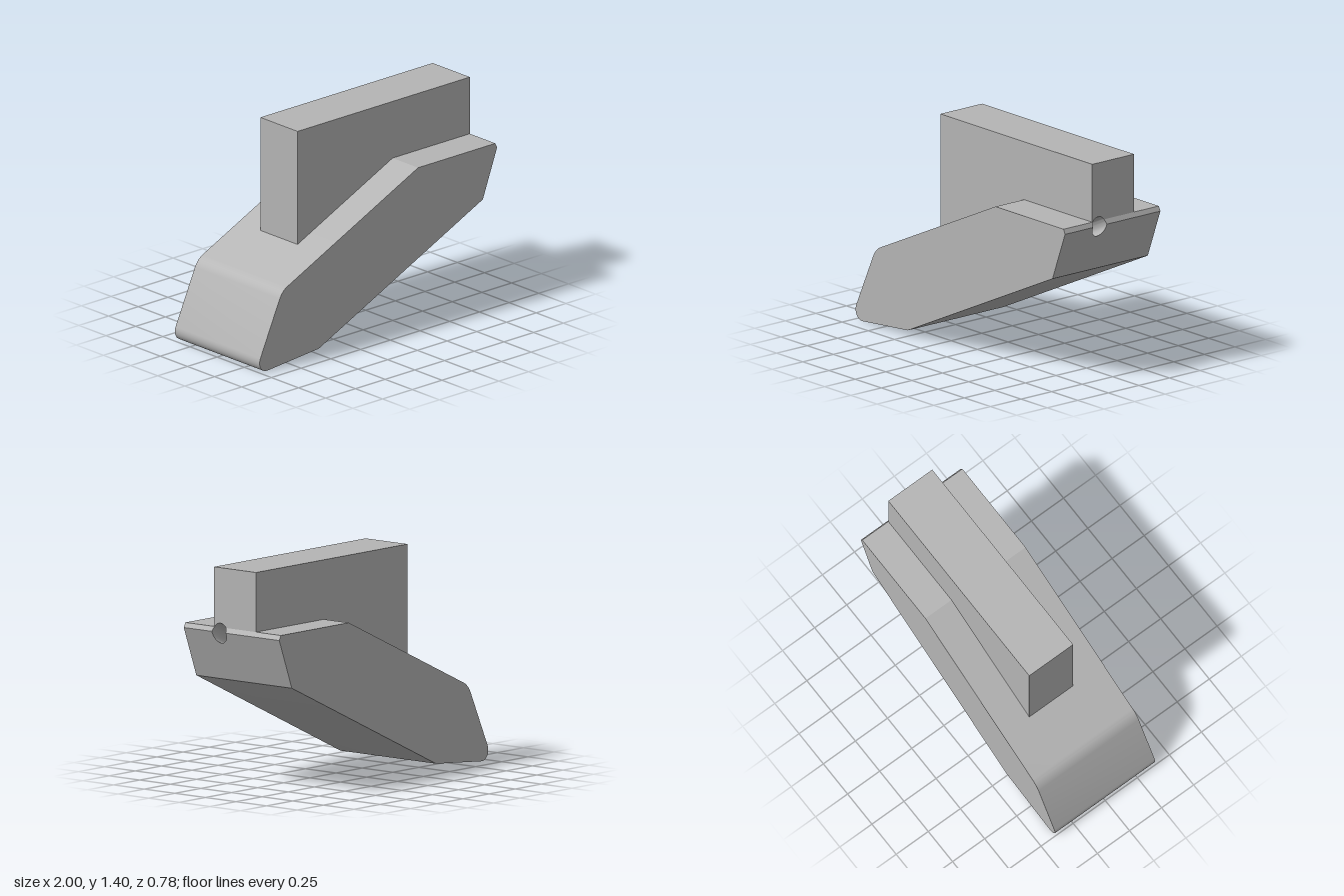
import * as THREE from 'three';
import { toCreasedNormals } from 'three/addons/utils/BufferGeometryUtils.js';

const V = (x, y) => new THREE.Vector2(x, y);
const HALF = 0.39;                    // half width of the body
const SLAB = [-0.187, 0.155];         // z range of the upright slab
const BORE = { z: 0.104, y: 0.9925, rz: 0.0565, ry: 0.0635, depth: 0.6, slope: 0.437 };

// x of the end surface at height y: leaning face, bevel, then slab face
function endX(y) {
  if (y <= 1) return 0.88 + (y - 0.685) / 0.315 * 0.12;
  return y < 1.03 ? 1 - (y - 1) * 0.5 : 0.985;
}

// Sweep an open counter-clockwise profile along z
function strip(points, z0, z1) {
  const pos = [];
  for (let i = 0; i + 1 < points.length; i++) {
    const p = points[i], q = points[i + 1];
    pos.push(p.x, p.y, z0, q.x, q.y, z0, q.x, q.y, z1);
    pos.push(p.x, p.y, z0, q.x, q.y, z1, p.x, p.y, z1);
  }
  const g = new THREE.BufferGeometry();
  g.setAttribute('position', new THREE.Float32BufferAttribute(pos, 3));
  return toCreasedNormals(g, 0.4);
}

// Flat side in the xy plane, facing +z or -z
function side(points, z, facing) {
  const g = new THREE.ShapeGeometry(new THREE.Shape(points));
  if (facing < 0) g.rotateY(Math.PI).scale(1, 1, 1);
  const p = g.attributes.position;
  if (facing < 0) for (let i = 0; i < p.count; i++) p.setX(i, -p.getX(i));
  if (facing < 0) {
    const idx = g.index.array;
    for (let i = 0; i < idx.length; i += 3) [idx[i], idx[i + 1]] = [idx[i + 1], idx[i]];
    // winding seen from -z is the reverse of the shape's own
    for (let i = 0; i < p.count; i++) p.setZ(i, 0);
  }
  g.translate(0, 0, z);
  g.computeVertexNormals();
  return g;
}

// Panel on the end surface, outlined by (z, y) points, facing +x
function endPanel(points) {
  const g = new THREE.ShapeGeometry(new THREE.Shape(points.map(p => V(-p.x, p.y))));
  const p = g.attributes.position;
  for (let i = 0; i < p.count; i++) {
    const a = p.getX(i), y = p.getY(i);
    p.setXYZ(i, endX(y), y, -a);
  }
  g.computeVertexNormals();
  return g;
}

const rim = t => V(BORE.z + BORE.rz * Math.cos(t), BORE.y + BORE.ry * Math.sin(t));
const arc = (a, b, n = 24) => Array.from({ length: n + 1 }, (_, i) => rim(a + (b - a) * i / n));

export function createModel() {
  const grey = new THREE.MeshStandardMaterial({ color: 0xb4b4b4 });
  grey.name = 'grey';
  const boreGrey = grey.clone();
  boreGrey.name = 'grey double sided';
  boreGrey.side = THREE.DoubleSide;

  const model = new THREE.Group();
  const body = new THREE.Group(), slab = new THREE.Group();
  body.name = 'body';
  slab.name = 'uprightSlab';
  model.add(body, slab);
  const add = (parent, name, geometry, material = grey) => {
    const mesh = new THREE.Mesh(geometry, material);
    mesh.name = name;
    parent.add(mesh);
  };

  // Body: slanted bar with two rounded corners at its low end
  const outline = new THREE.Path();
  outline.moveTo(0.335, 1.03);
  outline.lineTo(-0.765, 0.517);
  outline.quadraticCurveTo(-0.806, 0.497, -0.83, 0.45);
  outline.lineTo(-0.993, 0.095);
  outline.bezierCurveTo(-1.012, 0.05, -0.985, -0.002, -0.93, 0.002);
  outline.lineTo(-0.5, 0.04);
  outline.lineTo(0.88, 0.685);
  const bar = outline.getPoints(10);
  const full = [...bar, V(1, 1), V(0.985, 1.03)];
  add(body, 'bodyShell', strip(bar, -HALF, HALF));
  add(body, 'bodyLeftSide', side(full, HALF, 1));
  add(body, 'bodyRightSide', side(full, -HALF, -1));

  // Level deck on both sides of the slab
  const deck = [V(0.985, 1.03), V(0.335, 1.03)];
  add(body, 'deckRear', strip(deck, -HALF, SLAB[0]));
  add(body, 'deckFront', strip(deck, SLAB[1], HALF));

  // End faces, cut around the slanted bore
  const a = Math.asin((1 - BORE.y) / BORE.ry);
  const b = Math.asin((1.03 - BORE.y) / BORE.ry);
  add(body, 'endFace', endPanel([
    V(-HALF, 0.685), V(HALF, 0.685), V(HALF, 1), ...arc(a, -Math.PI - a), V(-HALF, 1)]));
  add(body, 'endBevelFront', endPanel([V(HALF, 1), V(HALF, 1.03), ...arc(b, a, 6)]));
  add(body, 'endBevelRear', endPanel([
    V(-HALF, 1), V(-HALF, 1.03), ...arc(Math.PI - b, Math.PI - a, 6)]));
  add(slab, 'slabEnd', endPanel([
    V(SLAB[0], 1.03), ...arc(Math.PI - b, b, 12), V(SLAB[1], 1.03),
    V(SLAB[1], 1.405), V(SLAB[0], 1.405)]));

  // Bore: the rim swept down along the slope of the bar, closed at the bottom
  const ring = [...arc(a, -Math.PI - a), ...arc(Math.PI - a, Math.PI - b, 6).slice(1),
    ...arc(Math.PI - b, b, 12).slice(1), ...arc(b, a, 6).slice(1)];
  const dx = BORE.depth * Math.cos(BORE.slope), dy = BORE.depth * Math.sin(BORE.slope);
  const pos = [], index = [], n = ring.length;
  for (const p of ring) {
    const x = endX(p.y);
    pos.push(x, p.y, p.x, x - dx, p.y - dy, p.x);
  }
  pos.push(0.98 - dx, BORE.y - dy, BORE.z);
  for (let i = 0; i < n - 1; i++) {
    const k = i * 2;
    index.push(k, k + 1, k + 2, k + 1, k + 3, k + 2, k + 1, 2 * n, k + 3);
  }
  const bore = new THREE.BufferGeometry();
  bore.setAttribute('position', new THREE.Float32BufferAttribute(pos, 3));
  bore.setIndex(index);
  add(body, 'bore', toCreasedNormals(bore, 0.7), boreGrey);

  // Slab standing on the bar
  const slabOutline = [V(0.985, 1.405), V(-0.465, 1.405), V(-0.465, 0.65), V(0.335, 1.025), V(0.985, 1.03)];
  add(slab, 'slabShell', strip(slabOutline.slice(0, 3), ...SLAB));
  add(slab, 'slabFront', side(slabOutline, SLAB[1], 1));
  add(slab, 'slabRear', side(slabOutline, SLAB[0], -1));
  return model;
}
